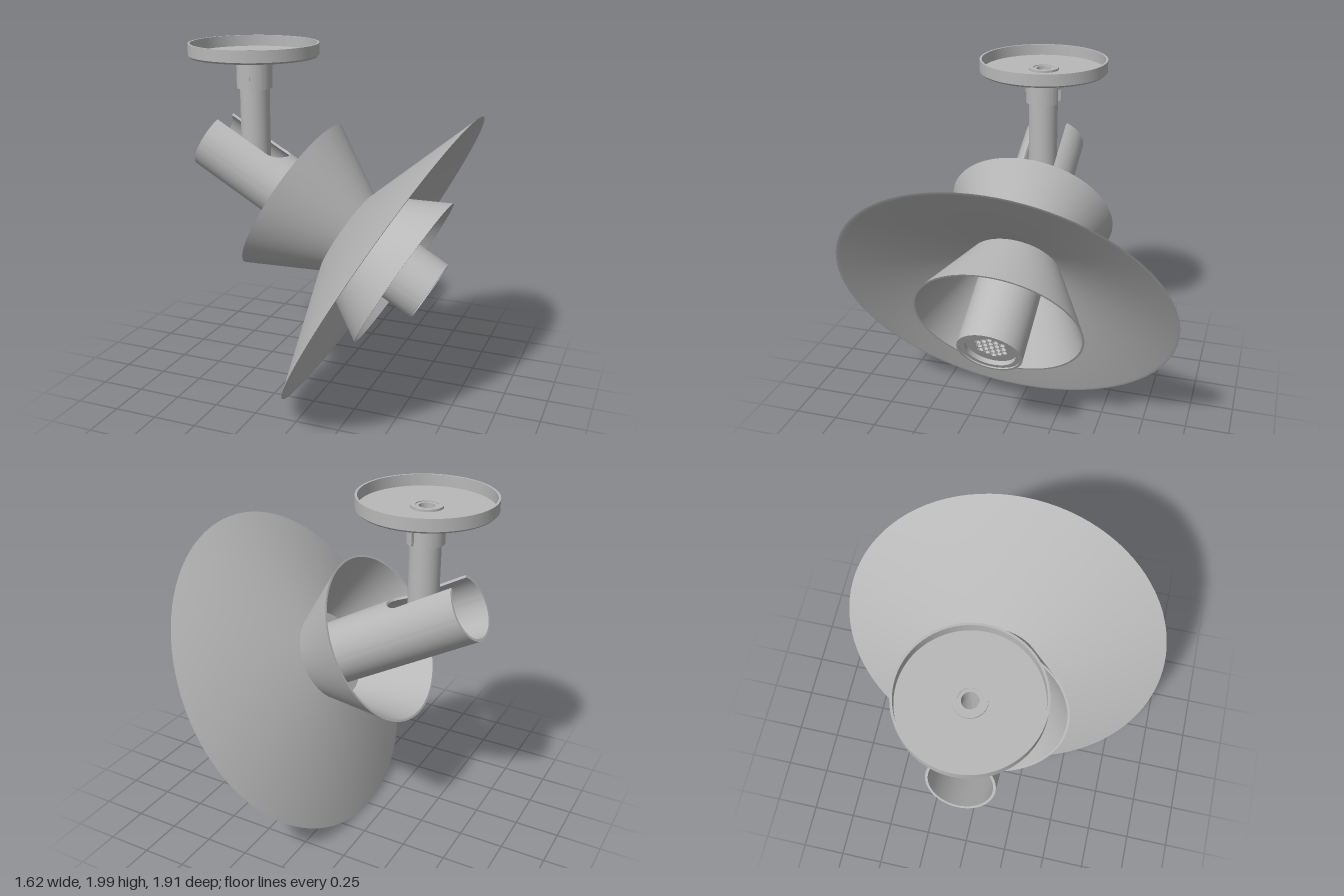
import * as THREE from 'three';
import { toCreasedNormals } from 'three/addons/utils/BufferGeometryUtils.js';

const metal = new THREE.MeshStandardMaterial({ color: 0xb8b8b8 });
metal.name = 'grey metal';
const dark = new THREE.MeshStandardMaterial({ color: 0x606060 });
dark.name = 'dark grille backing';

function part(name, geometry, parent, material = metal) {
  const mesh = new THREE.Mesh(geometry, material);
  mesh.name = name;
  parent.add(mesh);
  return mesh;
}

// Turned part from a closed [radius, height] profile
function turned(profile, segments = 96) {
  const points = profile.map(([r, y]) => new THREE.Vector2(r, y));
  return toCreasedNormals(new THREE.LatheGeometry(points, segments), 0.6);
}

// Thin conical shell or straight pipe between two heights
function shell(y0, r0, y1, r1, wall) {
  return turned([[r0, y0], [r1, y1], [r1 - wall, y1], [r0 - wall, y0], [r0, y0]]);
}

// Pipe along +y with a round-ended slot on its -x side, open at y = 0
function slottedPipe(radius, wall, length, halfWidth, slotCentre) {
  const edge = Math.asin(halfWidth / radius);
  const columns = [];
  const slotSteps = 24, wallSteps = 64;
  for (let i = 0; i <= slotSteps; i++) {
    const angle = edge * Math.sin((i / slotSteps - 0.5) * Math.PI);
    const side = radius * Math.sin(angle);
    columns.push([angle, slotCentre + Math.sqrt(Math.max(0, halfWidth ** 2 - side ** 2))]);
  }
  for (let i = 0; i <= wallSteps; i++) {
    columns.push([edge + (2 * Math.PI - 2 * edge) * i / wallSteps, 0]);
  }
  columns.push([2 * Math.PI - edge, slotCentre]);
  const inner = radius - wall;
  const loops = columns.map(([a, start]) =>
    [[radius, start], [radius, length], [inner, length], [inner, start]]
      .map(([r, y]) => [-r * Math.cos(a), y, r * Math.sin(a)]));
  const positions = [];
  for (let i = 0; i + 1 < loops.length; i++) {
    const A = loops[i], B = loops[i + 1];
    for (let k = 0; k < 4; k++) {
      const n = (k + 1) % 4;
      positions.push(...A[k], ...B[k], ...B[n], ...A[k], ...B[n], ...A[n]);
    }
  }
  const geometry = new THREE.BufferGeometry();
  geometry.setAttribute('position', new THREE.Float32BufferAttribute(positions, 3));
  return toCreasedNormals(geometry, 0.6);
}

// Round plate pierced by hexagonal cells
function honeycomb(radius, reach, pitch, depth) {
  const plate = new THREE.Shape().absarc(0, 0, radius, 0, Math.PI * 2);
  const cell = pitch * 0.5;
  for (let row = -5; row <= 5; row++) {
    for (let col = -5; col <= 5; col++) {
      const x = (col + (row & 1 ? 0.5 : 0)) * pitch;
      const y = row * pitch * 0.866;
      if (Math.hypot(x, y) > reach) continue;
      const hole = [];
      for (let k = 0; k < 6; k++) {
        const a = -(k + 0.5) * Math.PI / 3;
        hole.push(new THREE.Vector2(x + cell * Math.cos(a), y + cell * Math.sin(a)));
      }
      plate.holes.push(new THREE.Path(hole));
    }
  }
  const geometry = new THREE.ExtrudeGeometry(plate, { depth, bevelEnabled: false, curveSegments: 32 });
  return geometry.rotateX(-Math.PI / 2);
}

export function createModel() {
  const model = new THREE.Group();
  model.name = 'ceilingSpotlight';

  // Ceiling mount, built around its own vertical axis
  const mount = new THREE.Group();
  mount.name = 'ceilingMount';
  mount.position.x = -0.453;
  model.add(mount);
  part('canopyDish', turned([
    [0.05, 1.925], [0.352, 1.925], [0.362, 1.935], [0.362, 2], [0.35, 2],
    [0.35, 1.938], [0.05, 1.938], [0.05, 1.925],
  ]), mount);
  part('canopyBush', shell(1.93, 0.085, 1.95, 0.085, 0.025), mount);
  part('cableNipple', shell(1.85, 0.06, 1.945, 0.06, 0.018), mount);
  part('stem', shell(1.29, 0.083, 1.93, 0.083, 0.02), mount);
  const collar = part('collar', slottedPipe(0.1, 0.017, 0.176, 0.037, 0.095), mount);
  collar.position.y = 1.75;
  collar.rotation.y = -Math.PI / 2;
  // Fixing screws at the front and inside the rear slot
  for (const [y, z] of [[1.81, 0.092], [1.845, -0.086]]) {
    const screw = part('collarScrew', new THREE.CylinderGeometry(0.018, 0.018, 0.02, 24), mount);
    screw.rotation.x = Math.PI / 2;
    screw.position.set(0, y, z);
  }

  // Tilted lamp head: local +y runs along the tube to the light opening
  const head = new THREE.Group();
  head.name = 'lampHead';
  head.position.set(-0.72, 1.441, 0);
  head.rotation.z = -Math.PI * 2 / 3;
  model.add(head);
  const length = 1.52;
  part('lampTube', slottedPipe(0.18, 0.014, length, 0.096, 0.345), head);

  // Cones meeting at the neck
  part('rearCone', shell(0.575, 0.474, 0.96, 0.259, 0.012), head);
  part('wideShade', shell(0.955, 0.259, 1.215, 0.955, 0.02), head);
  part('frontCone', shell(0.96, 0.259, 1.348, 0.474, 0.012), head);
  part('neckDisc', turned([
    [0.17, 0.952], [0.252, 0.952], [0.252, 0.968], [0.17, 0.968], [0.17, 0.952],
  ]), head);

  // Light opening
  part('openingBezel', shell(length - 0.07, 0.167, length - 0.008, 0.167, 0.027), head);
  const grille = part('honeycombGrille', honeycomb(0.145, 0.1, 0.038, 0.02), head);
  grille.position.y = length - 0.055;
  const backing = part('grilleBacking', new THREE.CylinderGeometry(0.145, 0.145, 0.008, 48), head, dark);
  backing.position.y = length - 0.06;

  return model;
}
